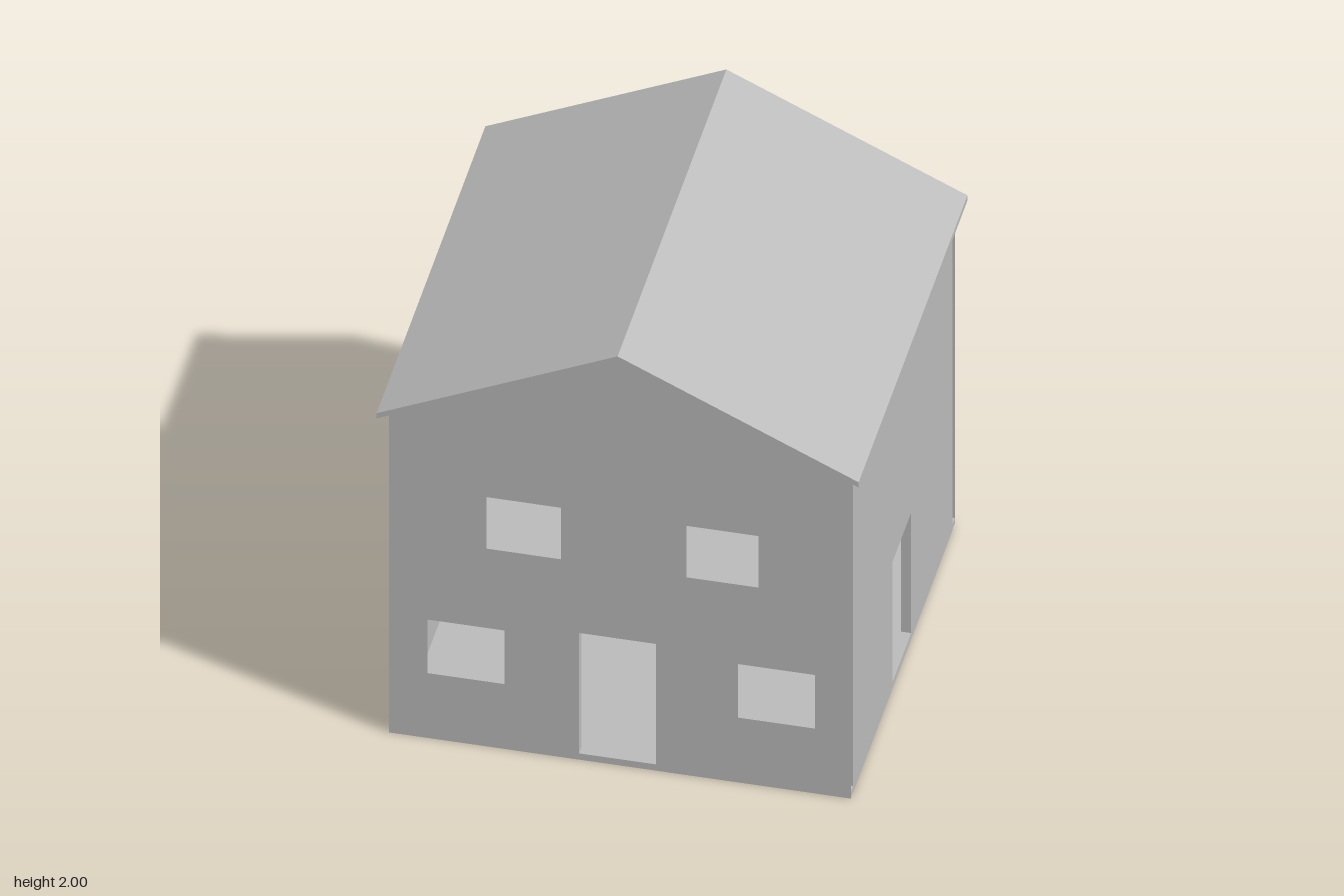
import * as THREE from 'three';

const plaster = new THREE.MeshStandardMaterial({ color: 0xbbbbbb, side: THREE.DoubleSide });
plaster.name = 'plainGrey';

const OUT_X = 0.9, IN_X = 0.86, OUT_Z = 0.87, IN_Z = 0.83;
const FLOOR = 0.03, EAVE = 1.53, RIDGE = 1.975, DOOR_TOP = 0.61;

function polygon(points) {
  return new THREE.Shape(points.map(([x, y]) => new THREE.Vector2(x, y)));
}

// Rectangle corners from [left, right, bottom, top]
const rect = ([l, r, b, t]) => [[l, b], [r, b], [r, t], [l, t]];

// Flat wall skin with rectangular openings
function skin(outline, openings) {
  const shape = polygon(outline);
  for (const o of openings) {
    shape.holes.push(new THREE.Path(rect(o).reverse().map(([x, y]) => new THREE.Vector2(x, y))));
  }
  return new THREE.ShapeGeometry(shape);
}

export function createModel() {
  const house = new THREE.Group();
  house.name = 'house';

  function add(name, geometry, parent = house) {
    const mesh = new THREE.Mesh(geometry, plaster);
    mesh.name = name;
    parent.add(mesh);
    return mesh;
  }

  // Reveal of a doorway: two jambs and a lintel spanning the wall skins
  function doorReveal(parent, [l, r, b, t], depth) {
    for (const x of [l, r]) {
      const jamb = add('doorJamb', new THREE.PlaneGeometry(depth, t - b), parent);
      jamb.rotation.y = Math.PI / 2;
      jamb.position.set(x, (b + t) / 2, -depth / 2);
    }
    const lintel = add('doorLintel', new THREE.PlaneGeometry(r - l, depth), parent);
    lintel.rotation.x = Math.PI / 2;
    lintel.position.set((l + r) / 2, t, -depth / 2);
  }

  // Wall made of an outer and an inner skin, local +z facing outward
  function wall(name, outline, windows, door, depth) {
    const group = new THREE.Group();
    group.name = name;
    const openings = door ? [...windows, door] : windows;
    add('outerSkin', skin(outline, openings), group);
    add('innerSkin', skin(outline, openings), group).position.z = -depth;
    if (door) doorReveal(group, door, depth);
    house.add(group);
    return group;
  }

  const gable = [[-OUT_X, 0], [OUT_X, 0], [OUT_X, EAVE], [0, RIDGE], [-OUT_X, EAVE]];
  const side = rect([-IN_Z, IN_Z, 0, EAVE]);

  // Front wall: door and four windows
  wall('frontWall', gable, [
    [-0.53, -0.23, 0.92, 1.2], [0.25, 0.54, 0.92, 1.2],
    [-0.76, -0.45, 0.28, 0.57], [0.45, 0.76, 0.28, 0.57],
  ], [-0.16, 0.14, FLOOR, DOOR_TOP], OUT_Z - IN_Z).position.z = OUT_Z;

  // Back wall: four windows, turned to face -z
  const back = wall('backWall', gable, [
    [-0.525, -0.22, 0.91, 1.205], [0.25, 0.55, 0.91, 1.205],
    [-0.735, -0.42, 0.325, 0.58], [0.41, 0.72, 0.325, 0.58],
  ], null, OUT_Z - IN_Z);
  back.rotation.y = Math.PI;
  back.position.z = -OUT_Z;

  // Side walls: a door on the left, a window on the right
  const left = wall('leftWall', side, [], [-0.17, 0.14, FLOOR, DOOR_TOP], OUT_X - IN_X);
  left.rotation.y = Math.PI / 2;
  left.position.x = OUT_X;
  const right = wall('rightWall', side, [[-0.22, 0.11, 0.33, 0.615]], null, OUT_X - IN_X);
  right.rotation.y = -Math.PI / 2;
  right.position.x = -OUT_X;

  // Ground floor slab
  add('groundFloor', new THREE.BoxGeometry(2 * OUT_X, 0.025, 2 * OUT_Z)).position.y = 0.0175;

  // Upper floor with a stairwell notch in the back left corner
  const upper = new THREE.ExtrudeGeometry(polygon([
    [-IN_X, -IN_Z], [IN_X, -IN_Z], [IN_X, 0.26], [0.5, 0.26], [0.5, IN_Z], [-IN_X, IN_Z],
  ]), { depth: 0.04, bevelEnabled: false });
  upper.rotateX(-Math.PI / 2);
  add('upperFloor', upper).position.y = 0.612;

  // Gabled roof slab with overhanging eaves
  const roof = new THREE.ExtrudeGeometry(polygon([
    [-0.94, 1.535], [0, RIDGE], [0.94, 1.535], [0.94, 1.56], [0, 2], [-0.94, 1.56],
  ]), { depth: 1.82, bevelEnabled: false });
  add('roof', roof).position.z = -0.91;

  return house;
}
